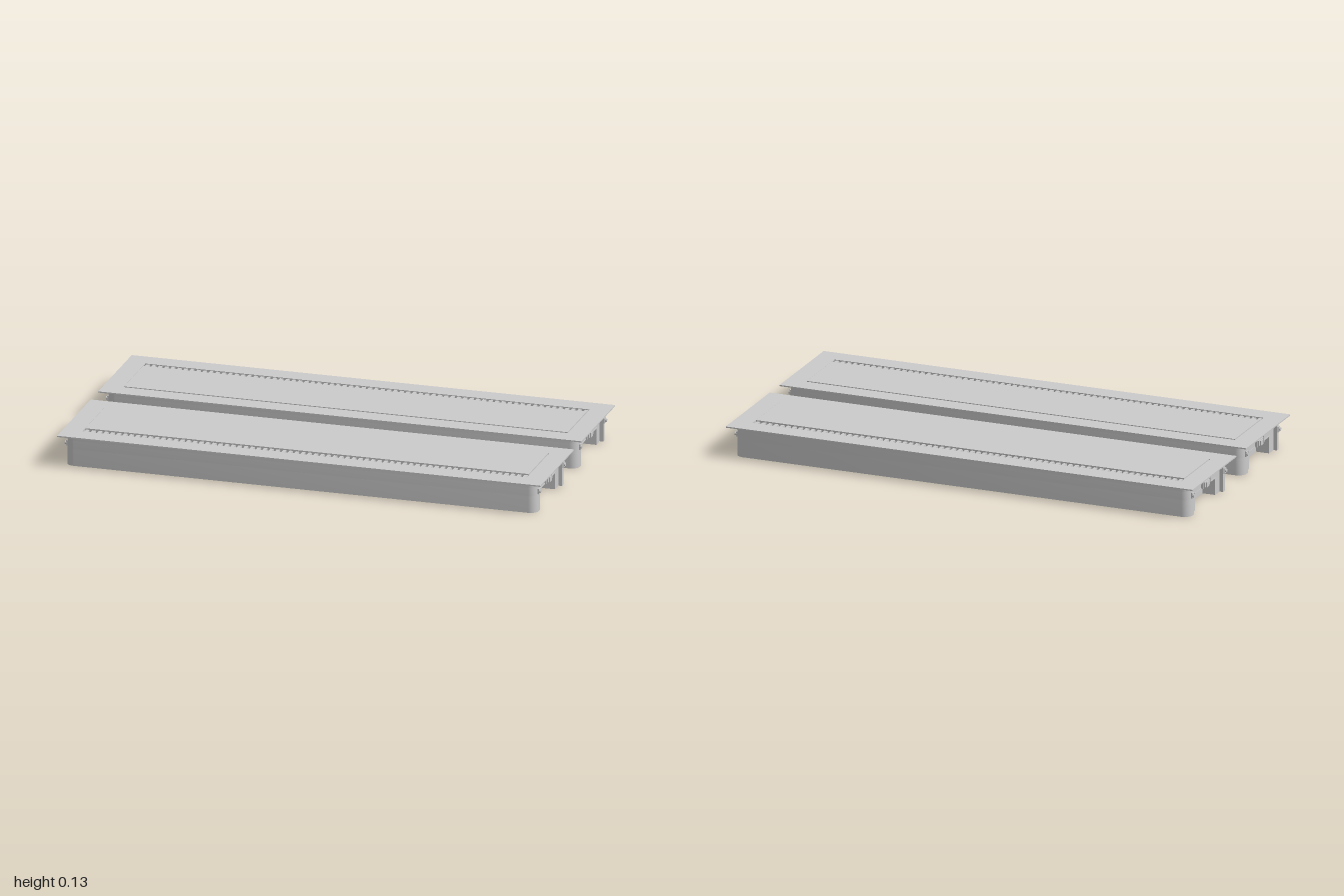
import * as THREE from 'three';
import { mergeGeometries, toCreasedNormals } from 'three/addons/utils/BufferGeometryUtils.js';

const grey = new THREE.MeshStandardMaterial({ color: 0xcccccc, side: THREE.DoubleSide });
const HX = 0.975, HW = 0.195, R = 0.035, WALL = 0.006;

function add(parent, name, geometry) {
  const m = new THREE.Mesh(geometry, grey);
  m.name = name;
  parent.add(m);
  return m;
}

// box from its limits
function box(x0, x1, y0, y1, z0, z1) {
  return new THREE.BoxGeometry(x1 - x0, y1 - y0, z1 - z0)
    .translate((x0 + x1) / 2, (y0 + y1) / 2, (z0 + z1) / 2);
}

const rect = (x0, x1, z0, z1) => [[x0, z0], [x1, z0], [x1, z1], [x0, z1]].map(p => new THREE.Vector2(...p));

// plan outline of the housing, inset by t, with end recesses d1 (shallow) and d2 (deep)
function plan(t, d1, d2) {
  const q = [];
  if (d2 > d1) q.push([HX - d2 - t, 0.103 + t], [HX - d1 - t, 0.103 + t]);
  if (d1 > 0) q.push([HX - d1 - t, 0.148 + t], [HX - t, 0.148 + t]);
  for (let i = 0; i <= 8; i++) {
    const a = i / 8 * Math.PI / 2;
    q.push([HX - R + (R - t) * Math.cos(a), HW - R + (R - t) * Math.sin(a)]);
  }
  const flip = (sx, sz) => q.map(([x, z]) => new THREE.Vector2(x * sx, z * sz));
  return [...q.map(p => new THREE.Vector2(...p)), ...flip(-1, 1).reverse(), ...flip(-1, -1), ...flip(1, -1).reverse()];
}

// vertical extrusion of a plan shape with holes
function slab(outline, holes, y0, y1) {
  const s = new THREE.Shape(outline);
  s.holes = holes.map(h => new THREE.Path(h));
  const g = new THREE.ExtrudeGeometry(s, { depth: y1 - y0, bevelEnabled: false });
  return toCreasedNormals(g.rotateX(Math.PI / 2).translate(0, y1, 0), 0.6);
}

// fittings on one end, built facing +x
function endFittings() {
  const g = new THREE.Group();
  g.name = 'endFittings';
  // roofs over the two recesses
  add(g, 'deepRecessRoof', box(0.9, 0.962, 0.07, 0.074, -0.106, 0.106));
  add(g, 'shallowRecessRoof', box(0.952, HX, 0.103, 0.107, -0.15, 0.15));
  // trapezoid cover above the connector
  const t = new THREE.Shape([[-0.08, 0.104], [0.08, 0.104], [0.05, 0.125], [-0.05, 0.125]].map(p => new THREE.Vector2(...p)));
  add(g, 'connectorCover', new THREE.ExtrudeGeometry(t, { depth: 0.004, bevelEnabled: false })
    .rotateY(Math.PI / 2).translate(HX - 0.002, 0, 0));
  // connector in its frame
  for (const s of [-1, 1]) add(g, 'connectorFrameSide', box(0.955, 0.968, 0.07, 0.105, s * 0.037 - 0.002, s * 0.037 + 0.002));
  add(g, 'connector', box(0.955, 0.97, 0.072, 0.094, -0.025, 0.025));
  add(g, 'connectorPlug', box(0.965, 0.974, 0.07, 0.09, -0.013, 0.013));
  // clips beside the corners
  for (const s of [-1, 1]) {
    add(g, 'clip', box(0.97, 0.979, 0.074, 0.096, s * 0.163 - 0.009, s * 0.163 + 0.009));
    add(g, 'clipPin', new THREE.CylinderGeometry(0.007, 0.007, 0.008, 16)
      .rotateZ(Math.PI / 2).translate(0.98, 0.085, s * 0.166));
  }
  return g;
}

function recessedUnit() {
  const u = new THREE.Group();
  u.name = 'recessedUnit';

  // open-bottomed housing in three storeys
  const storey = (name, y0, y1, d1, d2) => add(u, name, slab(plan(0, d1, d2), [plan(WALL, d1, d2)], y0, y1));
  storey('lowerHousing', 0, 0.07, 0.015, 0.07);
  storey('middleHousing', 0.07, 0.105, 0.015, 0.015);
  storey('upperHousing', 0.105, 0.126, 0, 0);

  // top flange and inset panel
  add(u, 'flange', slab(rect(-1, 1, -0.225, 0.225), [rect(-0.92, 0.92, -0.147, 0.145)], 0.125, 0.13));
  add(u, 'topPanel', box(-0.917, 0.917, 0.124, 0.132, -0.144, 0.112));
  add(u, 'panelHinge', box(-0.9, 0.9, 0.118, 0.124, -0.152, -0.138));

  // comb of bars across the cable slot
  const bars = [];
  const count = 70, pitch = 1.84 / count;
  for (let i = 0; i < count; i++) {
    const x = -0.92 + (i + 0.5) * pitch;
    bars.push(box(x - pitch * 0.27, x + pitch * 0.27, 0.118, 0.127, 0.11, 0.146));
  }
  add(u, 'slotBars', mergeGeometries(bars));

  // rails under the lid
  for (const z of [-0.165, 0.1, 0.155]) add(u, 'rail', box(-0.92, 0.92, 0.104, 0.125, z - 0.005, z + 0.005));

  const right = endFittings();
  const left = endFittings();
  left.rotation.y = Math.PI;
  u.add(right, left);
  return u;
}

export function createModel() {
  const model = new THREE.Group();
  model.name = 'recessedUnits';
  const front = recessedUnit();
  front.position.z = 0.275;
  const back = recessedUnit();
  back.position.z = -0.275;
  back.rotation.y = Math.PI;
  model.add(front, back);
  return model;
}
